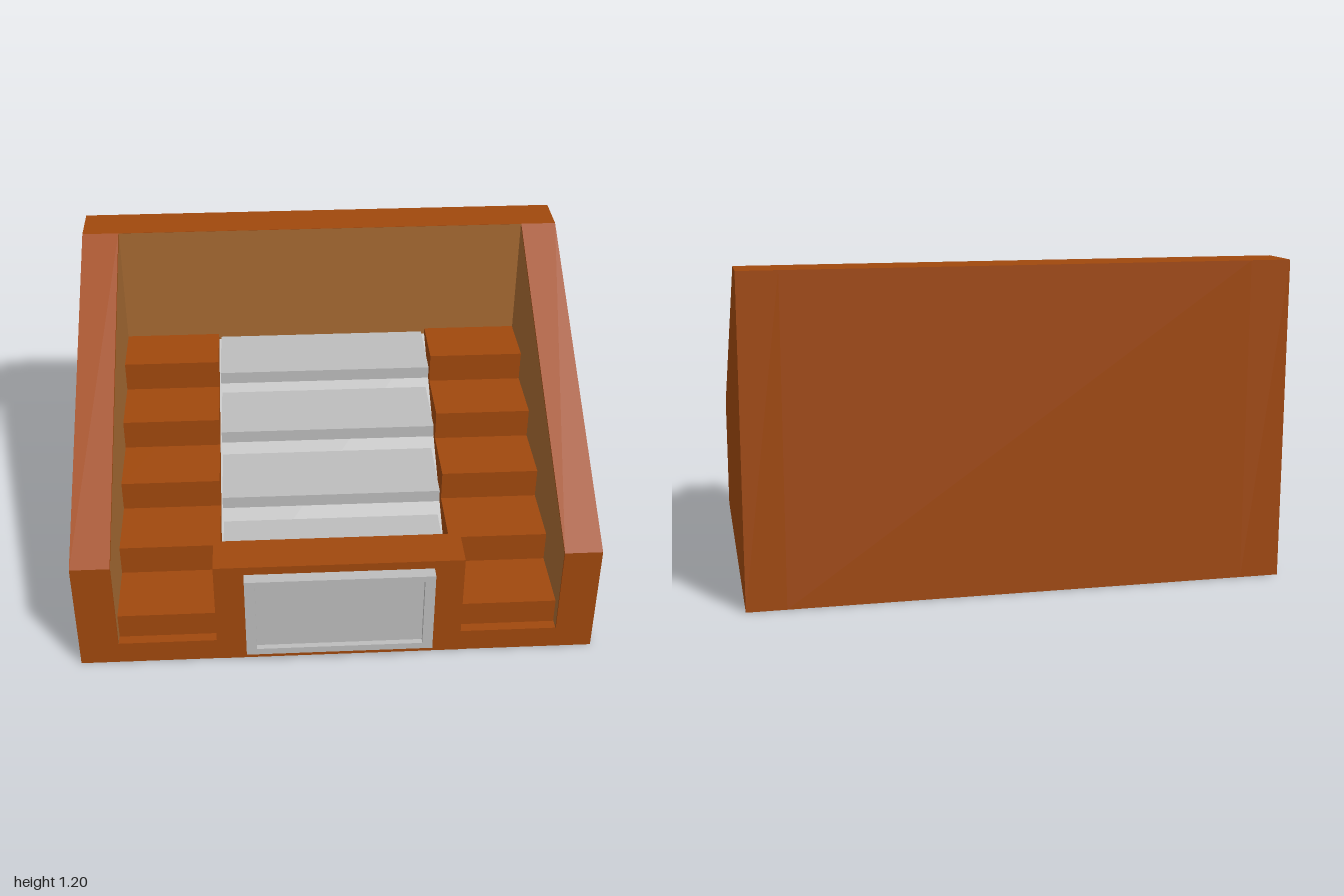
import * as THREE from 'three';

export function createModel() {
  const model = new THREE.Group();
  const mat = (name, color, side = THREE.FrontSide) => {
    const m = new THREE.MeshStandardMaterial({ color, side });
    m.name = name;
    return m;
  };
  const wood = mat('orange brown', 0xa0480d);
  const tan = mat('tan lining', 0xa66a32, THREE.DoubleSide);
  const grey = mat('light grey', 0xbdbdbd);

  const add = (name, geometry, material) => {
    const mesh = new THREE.Mesh(geometry, material);
    mesh.name = name;
    model.add(mesh);
    return mesh;
  };
  // Box given by its limits on each axis
  const box = (name, material, x0, x1, y0, y1, z0, z1) => {
    const g = new THREE.BoxGeometry(x1 - x0, y1 - y0, z1 - z0);
    g.translate((x0 + x1) / 2, (y0 + y1) / 2, (z0 + z1) / 2);
    return add(name, g, material);
  };
  // Side profile from [z, y] points; after rotateY it lies across x
  const profile = (pts) => new THREE.Shape(pts.map(([z, y]) => new THREE.Vector2(-z, y)));
  const slab = (name, material, pts, x0, x1) => {
    const g = new THREE.ExtrudeGeometry(profile(pts), { depth: x1 - x0, bevelEnabled: false });
    g.rotateY(Math.PI / 2).translate(x0, 0, 0);
    return add(name, g, material);
  };

  const back = -0.77, inner = -0.59, front = 0.72, floor = 0.095;

  // Sloping side walls and back wall
  const wall = [[front, 0], [back, 0], [back, 1.2], [inner, 1.2], [front, 0.47]];
  slab('rightWall', wood, wall, -1, -0.85);
  slab('leftWall', wood, wall, 0.855, 1);
  box('backWall', wood, -0.85, 0.855, 0, 1.2, back, inner);
  box('base', wood, -0.85, 0.855, 0, floor, inner, front);

  // Tan lining on the inner faces
  const lining = [[front, floor], [inner, floor], [inner, 1.2], [front, 0.47]];
  for (const x of [-0.848, 0.853]) {
    add('sideLining', new THREE.ShapeGeometry(profile(lining)).rotateY(Math.PI / 2).translate(x, 0, 0), tan);
  }
  const backLining = new THREE.PlaneGeometry(1.705, 1.2 - floor);
  add('backLining', backLining.translate(0.0025, (1.2 + floor) / 2, inner + 0.002), tan);

  // Stairs on both sides
  for (let i = 0; i < 5; i++) {
    const z = 0.68 - i * 0.2575;
    const y0 = i === 0 ? floor : 0.075 + i * 0.125;
    const y1 = 0.2 + i * 0.125;
    box('rightStep', wood, -0.847, -0.45, y0, y1, inner, z);
    box('leftStep', wood, 0.46, 0.852, y0, y1, inner, z);
  }

  // Seating ramp with four benches
  slab('ramp', grey, [[0.56, 0.04], [inner, 0.04], [inner, 0.675], [0.56, 0.055]], -0.45, 0.46);
  // Ramp foot kept clear of the base
  box('rampFoot', grey, -0.45, 0.46, 0.05, floor + 0.002, 0.4, 0.56);
  [0.5, 0.22, -0.045, -0.285].forEach((z, i) => {
    const top = 0.265 + i * 0.14;
    box('bench', grey, -0.44, 0.445, top - 0.052, top, z - 0.304, z);
  });

  // Front block with framed panel
  box('frontBlock', wood, -0.47, 0.48, 0, 0.455, 0.56, front + 0.001);
  const rect = (Type, x0, x1, y0, y1) => new Type([
    new THREE.Vector2(x0, y0), new THREE.Vector2(x1, y0),
    new THREE.Vector2(x1, y1), new THREE.Vector2(x0, y1)]);
  const frame = rect(THREE.Shape, -0.355, 0.365, 0.057, 0.42);
  frame.holes.push(rect(THREE.Path, -0.315, 0.325, 0.085, 0.395));
  add('panelFrame', new THREE.ExtrudeGeometry(frame, { depth: 0.047, bevelEnabled: false }).translate(0, 0, front), grey);
  box('panel', grey, -0.32, 0.33, 0.08, 0.4, front, front + 0.025);

  return model;
}
